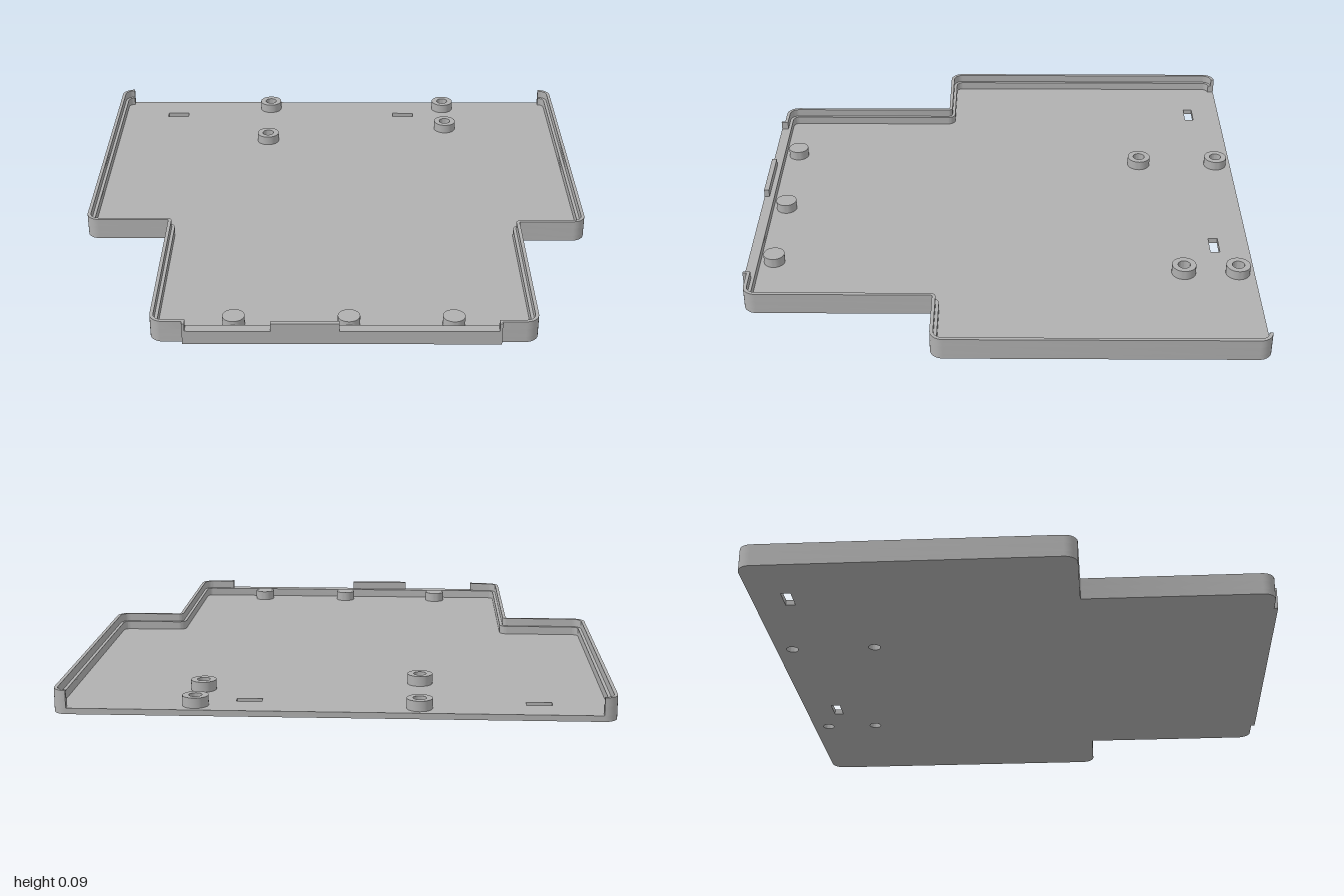
import * as THREE from 'three';
import { toCreasedNormals } from 'three/addons/utils/BufferGeometryUtils.js';

const FLOOR = 0.022, LEDGE = 0.055, TOP = 0.087;

// Plan corners (x, z), clockwise from the back, with the open edge between last and first
const CORNERS = [
  [-1, -0.985], [-1, 0.24], [-0.67, 0.24], [-0.67, 0.968],
  [0.735, 0.968], [0.735, 0.255], [1, 0.255], [1, -0.985],
].map(([x, z]) => new THREE.Vector2(x, z));

// Rounded outline points for corners first..last, moved inwards by inset
function outline(inset, first = 0, last = 7) {
  const points = [];
  for (let i = first; i <= last; i++) {
    const p = CORNERS[i];
    const a = p.clone().sub(CORNERS[(i + 7) % 8]).normalize();
    const b = CORNERS[(i + 1) % 8].clone().sub(p).normalize();
    const convex = a.cross(b) < 0;
    const r = convex ? 0.05 - inset : 0.006 + inset;
    const c = new THREE.Vector2(p.x + (a.y + b.y) * inset, p.y - (a.x + b.x) * inset)
      .addScaledVector(a, -r).addScaledVector(b, r);
    for (let k = 0; k <= 8; k++) {
      const t = (k / 8) * Math.PI / 2;
      points.push(c.clone().addScaledVector(b, -r * Math.cos(t)).addScaledVector(a, r * Math.sin(t)));
    }
  }
  return points;
}

export function createModel() {
  const group = new THREE.Group();
  const grey = new THREE.MeshStandardMaterial({ color: 0xb0b0b0 });
  grey.name = 'grey plastic';

  const add = (name, geometry) => {
    const mesh = new THREE.Mesh(geometry, grey);
    mesh.name = name;
    group.add(mesh);
  };
  // Raise a plan shape from y0 to y1
  const slab = (name, shape, y0, y1) => {
    const g = new THREE.ExtrudeGeometry(shape, { depth: y1 - y0, bevelEnabled: false, curveSegments: 16 });
    g.rotateX(Math.PI / 2).translate(0, y1, 0);
    add(name, toCreasedNormals(g, 0.5));
  };
  const box = (name, x0, x1, y0, y1, z0, z1) => {
    const g = new THREE.BoxGeometry(x1 - x0, y1 - y0, z1 - z0);
    add(name, g.translate((x0 + x1) / 2, (y0 + y1) / 2, (z0 + z1) / 2));
  };
  const circle = (Type, x, z, r) => new Type().absarc(x, z, r, 0, Math.PI * 2, false);
  const band = (outer, inner) => new THREE.Shape([...outer, ...inner.reverse()]);

  // Floor with screw holes and two slots
  const bosses = [[-0.305, -0.92], [0.495, -0.92], [0.495, -0.71], [-0.305, -0.59]];
  const floor = new THREE.Shape(outline(0));
  for (const [x, z] of bosses) floor.holes.push(circle(THREE.Path, x, z, 0.024));
  for (const x of [-0.78, 0.263]) {
    floor.holes.push(new THREE.Path([[x, -0.867], [x + 0.093, -0.867], [x + 0.093, -0.83], [x, -0.83]]
      .map(([px, pz]) => new THREE.Vector2(px, pz))));
  }
  slab('floor', floor, 0, FLOOR);

  // Thick lower wall, open along the back
  slab('lowerWall', band(outline(0), outline(0.025)), FLOOR, LEDGE);

  // Thin upper lip, interrupted at the front
  const leftLip = (d) => [...outline(d, 0, 3), new THREE.Vector2(-0.54, 0.968 - d)];
  const rightLip = (d) => [new THREE.Vector2(0.59, 0.968 - d), ...outline(d, 4, 7)];
  slab('leftLip', band(leftLip(0), leftLip(0.013)), LEDGE, TOP);
  slab('rightLip', band(rightLip(0), rightLip(0.013)), LEDGE, TOP);

  // Raised front strip with upright tabs
  box('frontStrip', -0.55, 0.6, 0, LEDGE, 0.957, 0.983);
  box('middleTab', -0.232, 0.016, LEDGE, TOP, 0.963, 0.983);
  box('leftEndTab', -0.55, -0.54, LEDGE, TOP, 0.957, 0.983);
  box('rightEndTab', 0.59, 0.6, LEDGE, TOP, 0.957, 0.983);

  // Hollow screw bosses
  for (const [x, z] of bosses) {
    const ring = circle(THREE.Shape, x, z, 0.047);
    ring.holes.push(circle(THREE.Path, x, z, 0.024));
    slab('screwBoss', ring, FLOOR, 0.06);
  }

  // Solid support pegs
  for (const x of [-0.37, 0.05, 0.432]) slab('supportPeg', circle(THREE.Shape, x, 0.888, 0.041), FLOOR, 0.06);

  return group;
}
